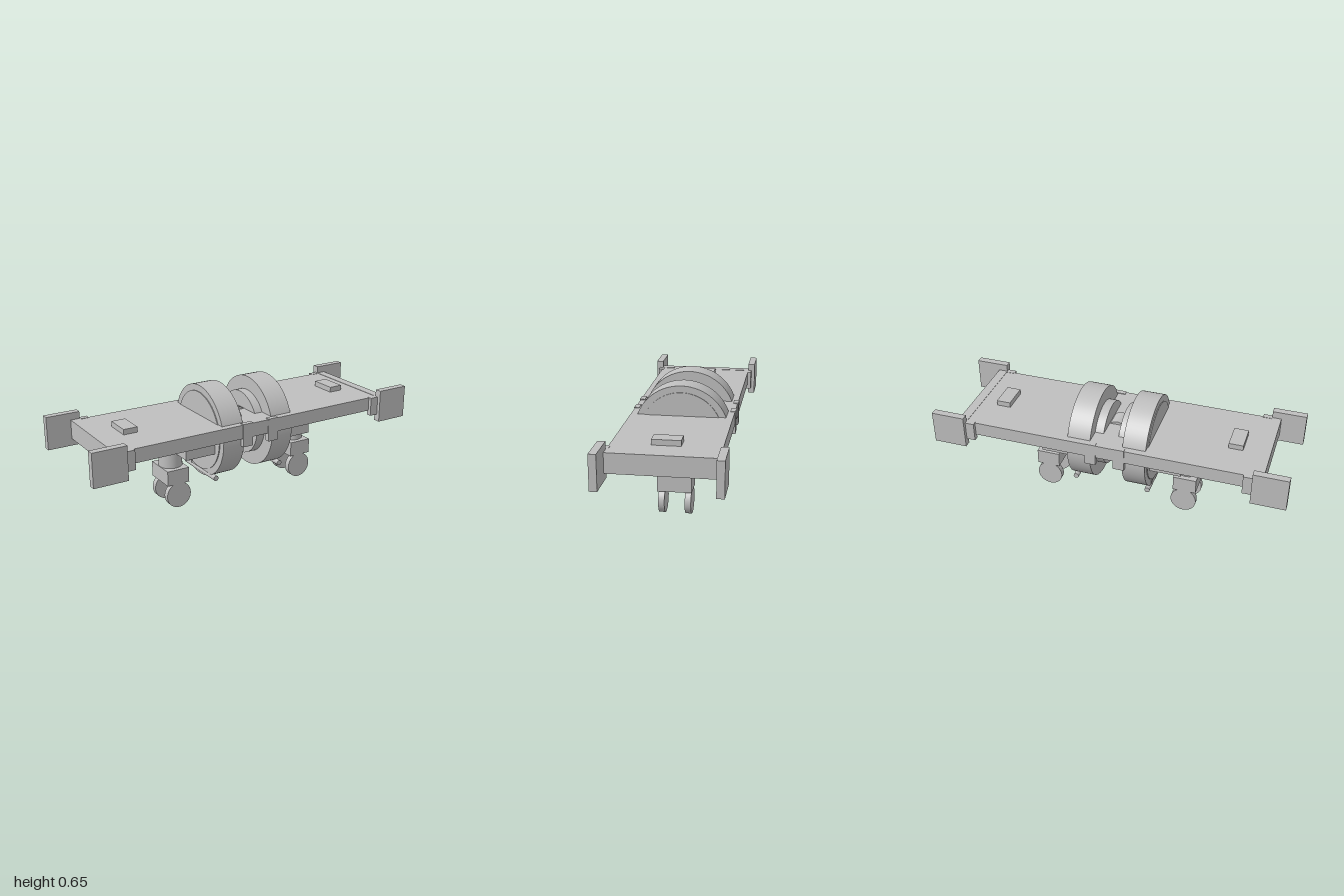
import * as THREE from 'three';

export function createModel() {
  const model = new THREE.Group();
  const grey = new THREE.MeshStandardMaterial({ color: 0xbfbfbf });
  grey.name = 'plainGrey';

  const add = (name, geometry, x, y, z) => {
    const mesh = new THREE.Mesh(geometry, grey);
    mesh.name = name;
    mesh.position.set(x, y, z);
    model.add(mesh);
    return mesh;
  };
  // Box given by its lower and upper limits on each axis
  const box = (name, x0, x1, y0, y1, z0, z1) =>
    add(name, new THREE.BoxGeometry(Math.abs(x1 - x0), y1 - y0, Math.abs(z1 - z0)),
      (x0 + x1) / 2, (y0 + y1) / 2, (z0 + z1) / 2);
  // Cylinder lying along x, y or z
  const cylinder = (name, axis, r, length, x, y, z) => {
    const g = new THREE.CylinderGeometry(r, r, length, 64);
    if (axis === 'x') g.rotateZ(Math.PI / 2);
    if (axis === 'z') g.rotateX(Math.PI / 2);
    return add(name, g, x, y, z);
  };

  // Deck with its long lower stringers
  box('deck', -0.82, 0.82, 0.43, 0.483, -0.28, 0.28);
  for (const s of [-1, 1]) box('stringer', -0.76, 0.76, 0.405, 0.43, s * 0.255, s * 0.28);

  // Central pivot between the two drums
  cylinder('axle', 'x', 0.05, 0.2, 0, 0.391, 0);
  cylinder('pivot', 'z', 0.055, 0.1, 0, 0.445, 0);

  for (const sx of [-1, 1]) {
    // Large drum, raised outer face and smaller inner flange
    cylinder('drum', 'x', 0.26, 0.13, sx * 0.157, 0.391, 0);
    cylinder('drumFace', 'x', 0.223, 0.02, sx * 0.217, 0.391, 0);
    cylinder('innerFlange', 'x', 0.182, 0.06, sx * 0.073, 0.391, 0);

    // Cross rod below the drum
    cylinder('crossRod', 'z', 0.015, 0.324, sx * 0.212, 0.153, 0);

    // Underbody housing and top block
    box('housing', sx * 0.2, sx * 0.405, 0.305, 0.43, -0.175, 0.175);
    box('topBlock', sx * 0.635, sx * 0.715, 0.48, 0.513, -0.075, 0.075);

    // End beam
    box('endBeam', sx * 0.81, sx * 0.862, 0.378, 0.485, -0.282, 0.282);

    // Caster: swivel column, fork block and twin wheels
    cylinder('casterColumn', 'y', 0.065, 0.21, sx * 0.408, 0.325, 0);
    box('casterBlock', sx * 0.343, sx * 0.475, 0.14, 0.225, -0.092, 0.092);

    for (const sz of [-1, 1]) {
      cylinder('casterWheel', 'z', 0.073, 0.033, sx * 0.405, 0.073, sz * 0.071);
      box('rodBracket', sx * 0.2, sx * 0.224, 0.155, 0.2, sz * 0.09, sz * 0.115);
      box('underRail', sx * 0.4, sx * 0.635, 0.385, 0.43, sz * 0.09, sz * 0.14);
      box('edgeClip', sx * 0.05, sx * 0.112, 0.357, 0.487, sz * 0.255, sz * 0.284);
      // Corner bumper and the tab that carries it
      box('cornerTab', sx * 0.76, sx * 0.815, 0.378, 0.485, sz * 0.27, sz * 0.3);
      box('cornerBumper', sx * 0.81, sx * 1.0, 0.338, 0.525, sz * 0.28, sz * 0.32);
    }
  }
  return model;
}
